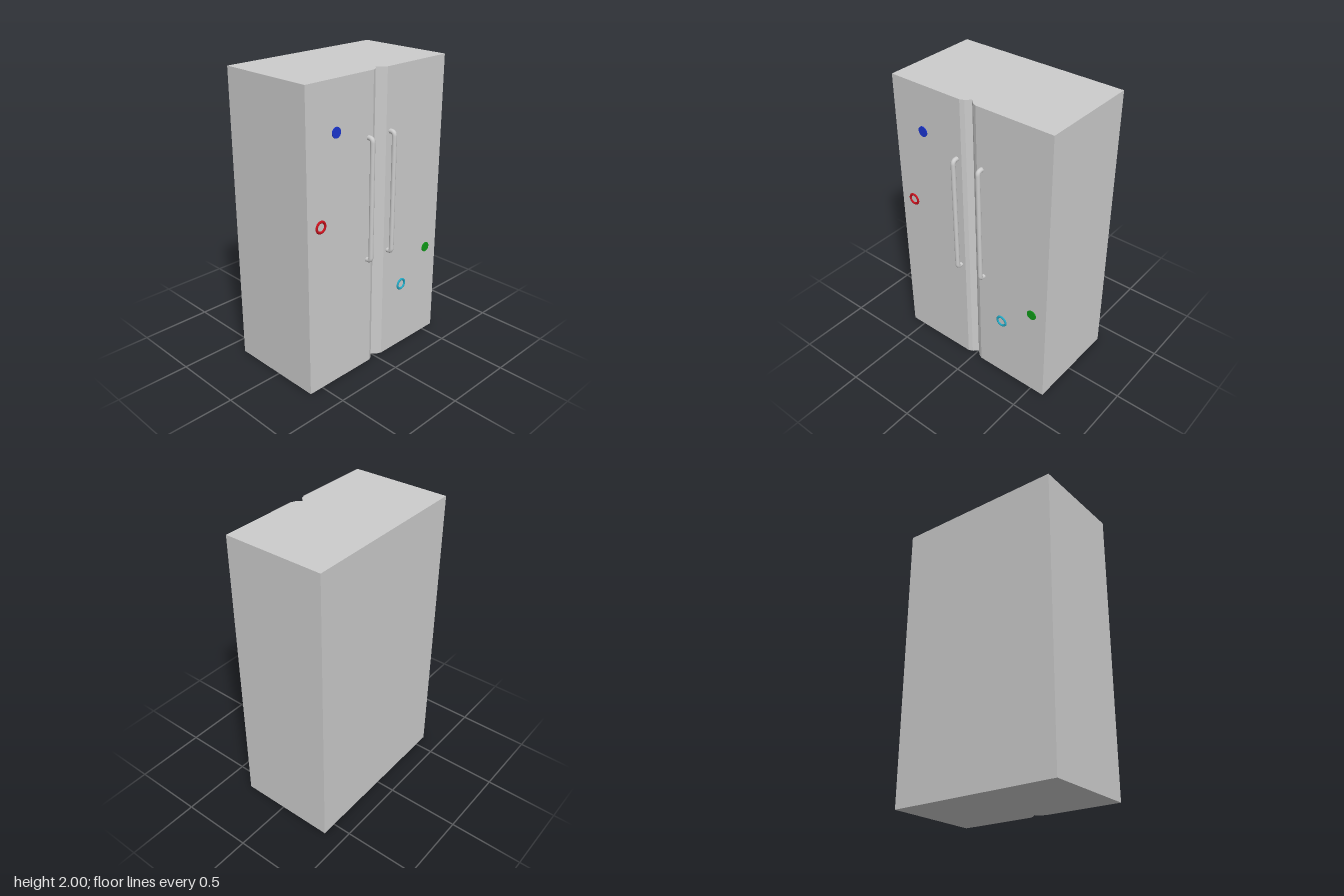
import * as THREE from 'three';

const FACE = 0.312; // x of the door fronts

function mat(color = 0xcccccc) {
  return new THREE.MeshStandardMaterial({ color });
}

function add(group, name, geometry, material) {
  const mesh = new THREE.Mesh(geometry, material);
  mesh.name = name;
  group.add(mesh);
  return mesh;
}

export function createModel() {
  const model = new THREE.Group();
  model.name = 'refrigerator';
  const grey = mat();

  // Cabinet: plan outline with the rounded notch between the doors
  const outline = new THREE.Shape([
    [-0.37, -0.6], [FACE, -0.6], [FACE, -0.06], [0.3, -0.032], [0.27, 0],
    [0.3, 0.032], [FACE, 0.06], [FACE, 0.6], [-0.37, 0.6],
  ].map(([x, z]) => new THREE.Vector2(x, z)));
  const cabinet = new THREE.ExtrudeGeometry(outline, { depth: 2, bevelEnabled: false });
  cabinet.rotateX(-Math.PI / 2);
  add(model, 'cabinet', cabinet, grey);

  // Door handles: bent bars, one each side of the notch
  const out = 0.347, low = 0.785, high = 1.597, bend = 0.025;
  const v = (x, y) => new THREE.Vector3(x, y, 0);
  const path = new THREE.CurvePath();
  path.add(new THREE.LineCurve3(v(FACE - 0.01, low), v(out - bend, low)));
  path.add(new THREE.QuadraticBezierCurve3(v(out - bend, low), v(out, low), v(out, low + bend)));
  path.add(new THREE.LineCurve3(v(out, low + bend), v(out, high - bend)));
  path.add(new THREE.QuadraticBezierCurve3(v(out, high - bend), v(out, high), v(out - bend, high)));
  path.add(new THREE.LineCurve3(v(out - bend, high), v(FACE - 0.01, high)));
  const handle = new THREE.TubeGeometry(path, 160, 0.0155, 16);
  for (const side of [1, -1]) {
    const name = side > 0 ? 'frontHandle' : 'backHandle';
    add(model, name, handle, grey).position.z = side * 0.097;
  }

  // Round magnets on the doors
  const disc = new THREE.CylinderGeometry(0.034, 0.034, 0.012, 32).rotateZ(-Math.PI / 2);
  const ring = new THREE.TorusGeometry(0.034, 0.0085, 12, 40).rotateY(Math.PI / 2);
  const magnets = [
    ['blueDiscMagnet', disc, 0x1a35d0, 1.687, 0.367],
    ['greenDiscMagnet', disc, 0x0f9a18, 0.673, -0.49],
    ['redRingMagnet', ring, 0xc8101c, 1.136, 0.495],
    ['cyanRingMagnet', ring, 0x22a8c4, 0.473, -0.246],
  ];
  for (const [name, geometry, color, y, z] of magnets) {
    add(model, name, geometry, mat(color)).position.set(FACE, y, z);
  }

  return model;
}
